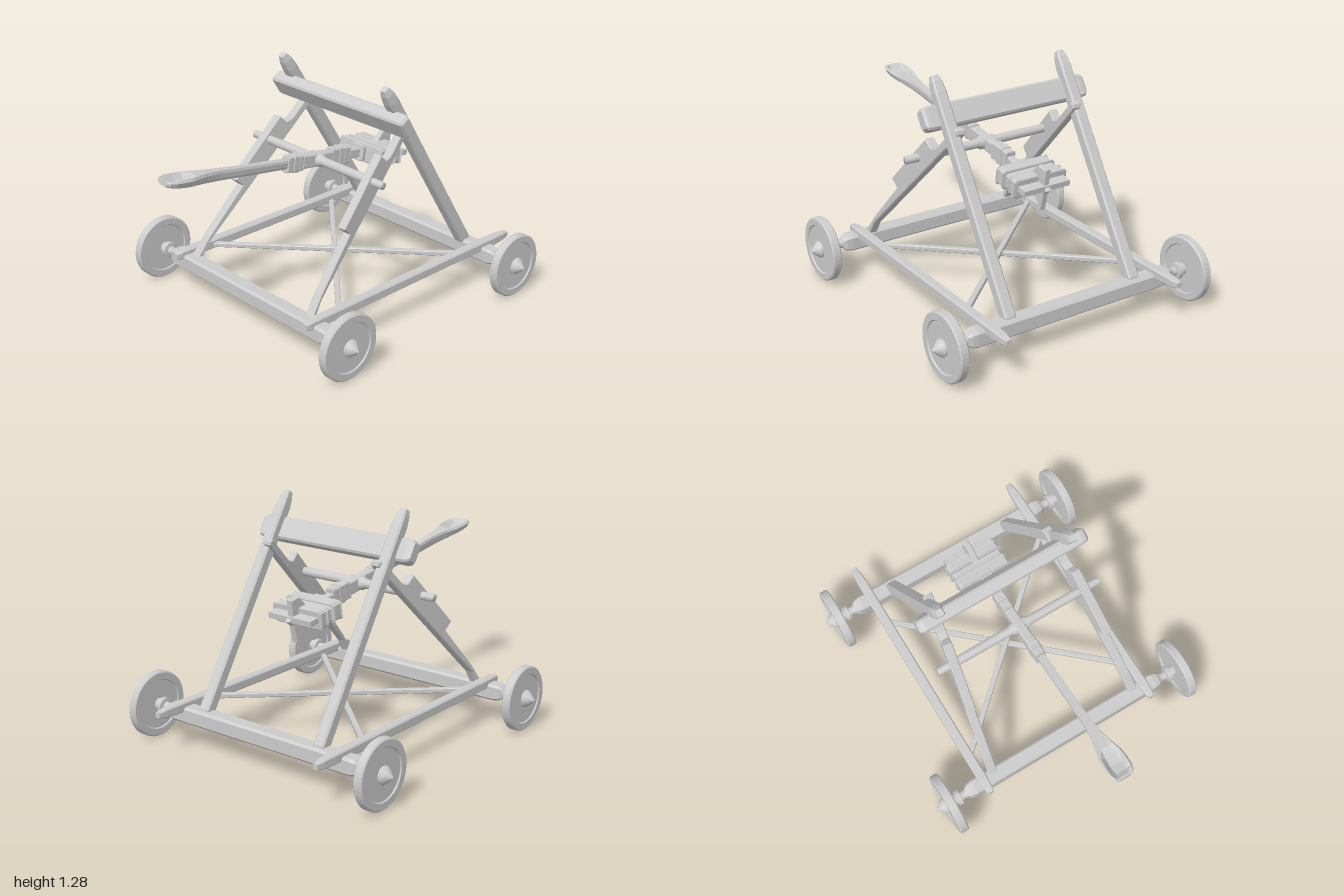
import * as THREE from 'three';

const mat = new THREE.MeshStandardMaterial({ color: 0xcccccc, flatShading: true });
const smooth = new THREE.MeshStandardMaterial({ color: 0xcccccc });
const V = (x, y, z) => new THREE.Vector3(x, y, z);

function add(parent, name, geometry, material = mat) {
  const mesh = new THREE.Mesh(geometry, material);
  mesh.name = name;
  parent.add(mesh);
  return mesh;
}

// Skin a row of equal rings (counter-clockwise about the row direction) and cap both ends
function loft(rings) {
  const pos = [];
  const tri = (...pts) => pts.forEach((p) => pos.push(p.x, p.y, p.z));
  const n = rings[0].length;
  for (let i = 0; i < rings.length - 1; i++) {
    for (let j = 0; j < n; j++) {
      const k = (j + 1) % n;
      const [a, b, c, d] = [rings[i][j], rings[i][k], rings[i + 1][k], rings[i + 1][j]];
      tri(a, b, c);
      tri(a, c, d);
    }
  }
  const first = rings[0], last = rings[rings.length - 1];
  for (let j = 1; j < n - 1; j++) {
    tri(first[0], first[j + 1], first[j]);
    tri(last[0], last[j], last[j + 1]);
  }
  const g = new THREE.BufferGeometry();
  g.setAttribute('position', new THREE.Float32BufferAttribute(pos, 3));
  g.computeVertexNormals();
  return g;
}

// Timber with chamfered long edges; each end narrows over a given length
function timber(a, b, w, h, { start = 0.02, end = 0.02, tip = 0.7, up = V(0, 1, 0) } = {}) {
  const dir = b.clone().sub(a), len = dir.length();
  dir.normalize();
  const side = up.clone().cross(dir).normalize();
  const top = dir.clone().cross(side);
  const ring = (t, s) => {
    const x = w / 2 * s, y = h / 2 * s, c = Math.min(w, h) * 0.14 * s;
    return [[x, -y + c], [x, y - c], [x - c, y], [-x + c, y], [-x, y - c], [-x, -y + c], [-x + c, -y], [x - c, -y]]
      .map(([p, q]) => a.clone().addScaledVector(dir, t).addScaledVector(side, p).addScaledVector(top, q));
  };
  const mid = (1 + tip) / 2 + 0.08;
  return loft([ring(0, tip), ring(start * 0.4, mid), ring(start, 1), ring(len - end, 1),
    ring(len - end * 0.4, mid), ring(len, tip)]);
}

// Flat plate cut from a side outline, centred on z = 0
function plate(points, depth) {
  const shape = new THREE.Shape(points.map(([x, y]) => new THREE.Vector2(x, y)));
  const g = new THREE.ExtrudeGeometry(shape, { depth: depth - 0.01, bevelSize: 0.005, bevelThickness: 0.005, bevelOffset: -0.005, bevelSegments: 1 });
  return g.translate(0, 0, -(depth - 0.01) / 2);
}

function buildWheel() {
  const wheel = new THREE.Group();
  wheel.name = 'wheel';
  const turn = (name, pts, seg = 40) =>
    add(wheel, name, new THREE.LatheGeometry(pts.map(([r, y]) => new THREE.Vector2(r, y)), seg).rotateX(Math.PI / 2));
  // Profiles run along the axle, outward is positive
  turn('wheelDisc', [[0, -0.018], [0.132, -0.018], [0.137, -0.025], [0.172, -0.025], [0.179, -0.018],
    [0.179, 0.018], [0.172, 0.025], [0.137, 0.025], [0.132, 0.018], [0, 0.018]], 48);
  turn('hubCap', [[0.047, 0.01], [0.047, 0.026], [0.028, 0.05], [0, 0.077]], 24);
  turn('axleStub', [[0.03, -0.125], [0.024, -0.1], [0.024, -0.075], [0.045, -0.072], [0.045, -0.048],
    [0.032, -0.045], [0.032, -0.015]], 20);
  return wheel;
}

function buildArm() {
  const arm = new THREE.Group();
  arm.name = 'throwingArm';
  // Spoon and handle: x, centre height, half width, thickness, bowl depth
  const sections = [
    [-1.01, 0.014, 0.035, 0.026, 0], [-1.0, 0.013, 0.055, 0.034, 0.003], [-0.97, 0.011, 0.066, 0.044, 0.024],
    [-0.92, 0.009, 0.068, 0.052, 0.032], [-0.87, 0.008, 0.064, 0.056, 0.024], [-0.83, 0.008, 0.053, 0.057, 0.003],
    [-0.76, 0.008, 0.035, 0.057, 0], [-0.67, 0.007, 0.025, 0.056, 0], [-0.5, 0.003, 0.023, 0.052, 0], [-0.2, 0, 0.023, 0.05, 0],
  ];
  add(arm, 'spoon', loft(sections.map(([x, y, w, t, dip]) => {
    const half = [[t / 2 - dip, 0.45], [t / 2, 0.85], [t / 4, 1], [-t / 4, 0.85], [-t / 2, 0.45]];
    const right = half.map(([h, k]) => V(x, y + h, k * w));
    const left = half.map(([h, k]) => V(x, y + h, -k * w)).reverse();
    return [V(x, y + t / 2 - dip, 0), ...right, ...left];
  })));
  // Shaft with its bindings: start, end, height, width
  const blocks = [
    ['shaft', -0.22, 0.42, 0.052, 0.046], ['rearBinding', -0.22, -0.11, 0.088, 0.056],
    ['rearBand', -0.18, -0.14, 0.096, 0.062], ['pivotBlock', -0.11, 0.11, 0.075, 0.054],
    ['frontBinding', 0.1, 0.235, 0.098, 0.056], ['frontBand', 0.15, 0.19, 0.105, 0.062],
    ['weightCollar', 0.31, 0.36, 0.09, 0.09],
  ];
  for (const [name, a, b, h, w] of blocks)
    add(arm, name, timber(V(a, 0, 0), V(b, 0, 0), w, h, { start: 0.006, end: 0.006, tip: 0.92 }));
  // Counterweight slabs across the arm
  for (const [a, b, h, w] of [[0.335, 0.4, 0.1, 0.304], [0.405, 0.445, 0.085, 0.29], [0.45, 0.505, 0.1, 0.304]])
    add(arm, 'counterweightSlab', timber(V(a, 0, 0), V(b, 0, 0), w, h, { start: 0.008, end: 0.008, tip: 0.95 }));
  add(arm, 'sideFin', new THREE.BoxGeometry(0.11, 0.03, 0.28)).position.set(0.51, 0.005, 0);
  add(arm, 'uprightFin', plate([[0.44, 0.04], [0.49, 0.105], [0.555, 0.105], [0.555, 0.02], [0.585, 0],
    [0.555, -0.03], [0.545, -0.13], [0.5, -0.08], [0.45, -0.05]], 0.034));
  arm.position.set(0.005, 0.807, 0);
  arm.rotation.z = -0.143;
  return arm;
}

export function createModel() {
  const model = new THREE.Group();
  model.name = 'catapult';

  // Axle beams and wheels
  for (const x of [-0.48, 0.795]) {
    add(model, 'axleBeam', timber(V(x, 0.18, -0.638), V(x, 0.18, 0.638), 0.086, 0.09, { start: 0.05, end: 0.05, tip: 0.6 }));
    for (const s of [1, -1]) {
      const wheel = buildWheel();
      wheel.position.set(x, 0.18, s * 0.75);
      if (s < 0) wheel.rotation.y = Math.PI;
      model.add(wheel);
    }
  }

  // Side outline of the rear strut with its wide bearing plate
  const strutOutline = [[-0.49, 0.2], [-0.45, 0.2], [-0.4, 0.29], [0.3, 0.985], [0.33, 1.02], [0.325, 1.04], [0.3, 1.045],
    [0.155, 0.9], [0.12, 0.89], [0.075, 0.93], [-0.22, 0.62], [-0.176, 0.578], [-0.4, 0.326]];

  for (const s of [1, -1]) {
    add(model, 'sideRail', timber(V(-0.56, 0.225, s * 0.526), V(0.998, 0.225, s * 0.526), 0.054, 0.054,
      { start: 0.08, end: 0.12, tip: 0.55 }));
    add(model, 'frontPost', timber(V(0.795, 0.2, s * 0.385), V(0.118, 1.27, s * 0.385), 0.066, 0.066,
      { start: 0.02, end: 0.09, tip: 0.55, up: V(0, 0, 1) }));

    // Rear strut leans inward as it rises
    const strut = plate(strutOutline, 0.052);
    const p = strut.attributes.position;
    for (let i = 0; i < p.count; i++)
      p.setZ(i, p.getZ(i) + s * (0.46 - 0.13 * (p.getX(i) + 0.47)));
    strut.computeVertexNormals();
    add(model, 'rearStrut', strut);

    // Crossed floor brace
    add(model, 'floorBrace', timber(V(-0.31, 0.215 + s * 0.008, -s * 0.51), V(0.61, 0.215 + s * 0.008, s * 0.51), 0.03, 0.026));
  }

  // Padded stop beam behind the posts
  add(model, 'stopBeam', timber(V(0.184, 1.076, -0.497), V(0.184, 1.076, 0.497), 0.075, 0.125,
    { start: 0.035, end: 0.035, tip: 0.72, up: V(-0.537, 0.843, 0) }));

  // Pivot bar with a thicker middle
  const bar = [[0, -0.495], [0.021, -0.495], [0.025, -0.3], [0.025, -0.06], [0.036, -0.04],
    [0.036, 0.04], [0.025, 0.06], [0.025, 0.3], [0.021, 0.495], [0, 0.495]];
  const pivot = new THREE.LatheGeometry(bar.map(([r, y]) => new THREE.Vector2(r, y)), 20).rotateX(Math.PI / 2);
  add(model, 'pivotBar', pivot, smooth).position.set(0.008, 0.807, 0);

  model.add(buildArm());
  return model;
}
